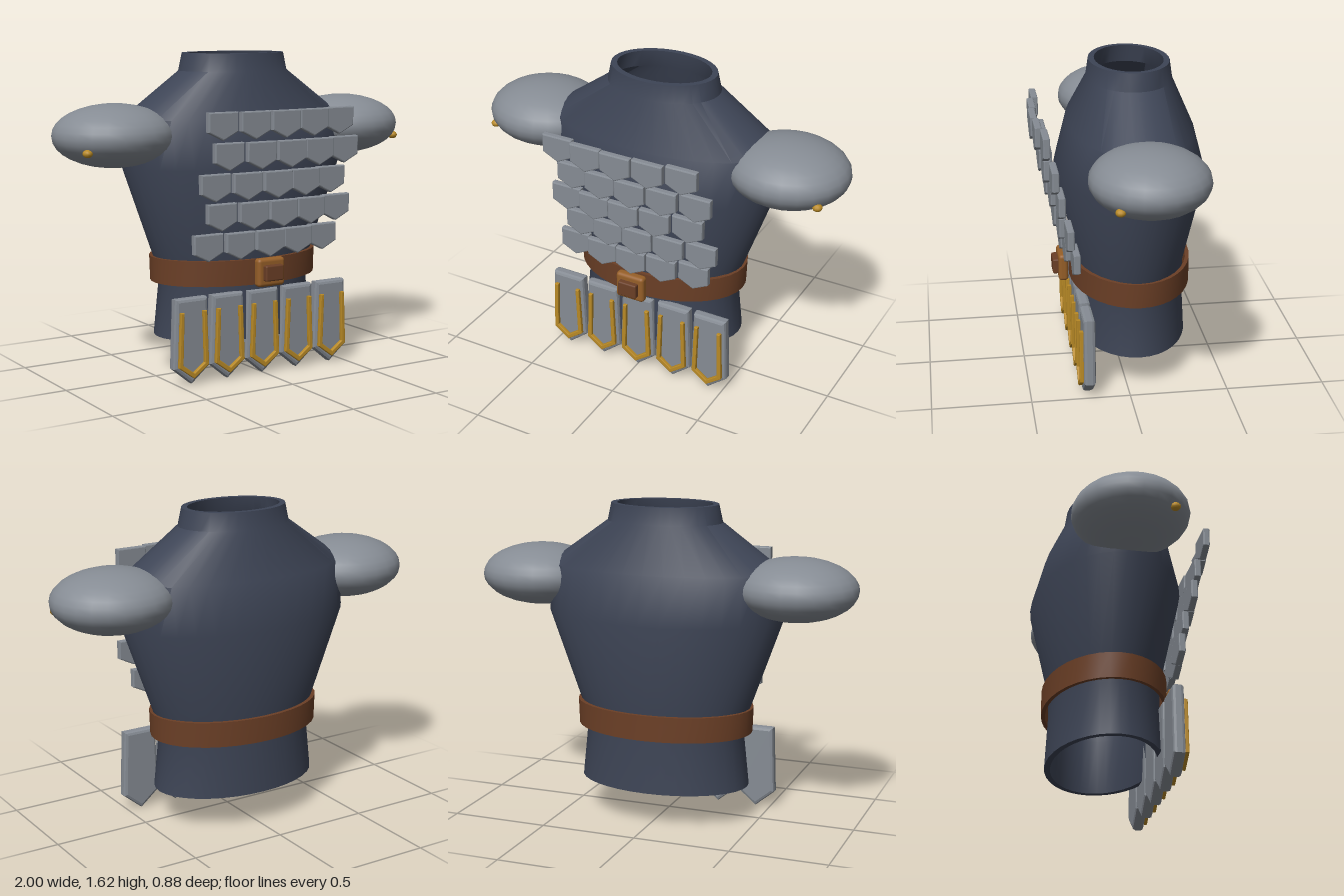
import * as THREE from 'three';
import { toCreasedNormals } from 'three/addons/utils/BufferGeometryUtils.js';
import { RoundedBoxGeometry } from 'three/addons/geometries/RoundedBoxGeometry.js';

const CENTER_Z = -0.06;

const material = (name, color) => {
  const m = new THREE.MeshStandardMaterial({ color });
  m.name = name;
  return m;
};

// Closed-wall elliptical shell from [y, rx, rz] rings, bottom to top
function shellGeometry(rings, wall, segments = 36) {
  const inner = rings.map(([y, rx, rz]) => [y, rx - wall, rz - wall]).reverse();
  const loop = [...rings, ...inner];
  const positions = [], index = [];
  for (const [y, rx, rz] of loop) {
    for (let j = 0; j < segments; j++) {
      const a = (j / segments) * Math.PI * 2;
      positions.push(rx * Math.sin(a), y, CENTER_Z + rz * Math.cos(a));
    }
  }
  for (let i = 0; i < loop.length; i++) {
    const low = i * segments, high = ((i + 1) % loop.length) * segments;
    for (let j = 0; j < segments; j++) {
      const k = (j + 1) % segments;
      index.push(low + j, low + k, high + k, low + j, high + k, high + j);
    }
  }
  const g = new THREE.BufferGeometry();
  g.setAttribute('position', new THREE.Float32BufferAttribute(positions, 3));
  g.setIndex(index);
  return toCreasedNormals(g, 0.6);
}

// Bevelled plate whose back lies on z = 0
function plateGeometry(points, thickness, bevel) {
  const shape = new THREE.Shape(points.map(([x, y]) => new THREE.Vector2(x, y)));
  const g = new THREE.ExtrudeGeometry(shape, {
    depth: thickness - 2 * bevel,
    bevelEnabled: bevel > 0,
    bevelThickness: bevel,
    bevelSize: bevel,
    bevelOffset: -bevel,
    bevelSegments: 2,
  });
  g.translate(0, 0, bevel);
  return g;
}

export function createModel() {
  const model = new THREE.Group();
  model.name = 'torsoArmor';
  const cloth = material('darkSlate', 0x3d4455);
  const steel = material('steelGrey', 0x868c94);
  const leather = material('brownLeather', 0x6b3f26);
  const bronze = material('bronze', 0x965f28);
  const gold = material('gold', 0xb98a26);

  const add = (name, geometry, mat, x = 0, y = 0, z = 0, parent = model) => {
    const mesh = new THREE.Mesh(geometry, mat);
    mesh.name = name;
    mesh.position.set(x, y, z);
    parent.add(mesh);
    return mesh;
  };
  const addGroup = (name) => {
    const group = new THREE.Group();
    group.name = name;
    model.add(group);
    return group;
  };

  // Hollow torso, open at the neck and hem
  add('torso', shellGeometry([
    [0.19, 0.45, 0.29],
    [0.47, 0.42, 0.275],
    [0.6, 0.455, 0.277],
    [1.07, 0.622, 0.38],
    [1.31, 0.625, 0.315],
    [1.54, 0.3, 0.215],
    [1.63, 0.28, 0.202],
  ], 0.03), cloth);

  // Belt and buckle
  add('belt', shellGeometry([[0.473, 0.465, 0.312], [0.603, 0.47, 0.312]], 0.02), leather);
  add('buckleFrame', new RoundedBoxGeometry(0.16, 0.145, 0.05, 3, 0.018), bronze, 0, 0.54, 0.288);
  add('bucklePlate', new RoundedBoxGeometry(0.105, 0.08, 0.06, 2, 0.008), leather, 0, 0.54, 0.311);

  // Shoulder domes with a gold rivet on each
  const dome = new THREE.SphereGeometry(1, 24, 16);
  const rivet = new THREE.SphereGeometry(0.025, 12, 8);
  for (const [side, s] of [['left', 1], ['right', -1]]) {
    add(side + 'Shoulder', dome, steel, s * 0.69, 1.235, CENTER_Z).scale.set(0.31, 0.158, 0.29);
    add(side + 'Rivet', rivet, gold, s * 0.915, 1.172, 0.11).scale.set(1, 0.8, 1);
  }

  // Five staggered rows of chest scales, bowed forward at the middle
  const scales = addGroup('chestScales');
  const scale = plateGeometry([
    [-0.083, 0], [-0.083, -0.095], [0, -0.136], [0.083, -0.095], [0.083, 0],
  ], 0.035, 0.006);
  for (let row = 0; row < 5; row++) {
    const shift = row % 2 ? 0.057 : 0;
    for (let i = -2; i <= 2; i++) {
      const z = 0.408 - row * 0.035 - 0.008 * i * i;
      add('scale', scale, steel, i * 0.171 + shift, 1.365 - row * 0.1525, z, scales);
    }
  }

  // Hanging skirt plates with gold trim
  const skirt = addGroup('skirtPlates');
  const plate = plateGeometry([
    [-0.09, 0.44], [-0.103, 0.09], [0, 0.005], [0.103, 0.09], [0.09, 0.44],
  ], 0.06, 0.016);
  const trim = plateGeometry([
    [-0.074, 0.375], [-0.085, 0.1], [0, 0.038], [0.085, 0.1], [0.074, 0.375],
    [0.054, 0.375], [0.062, 0.112], [0, 0.066], [-0.062, 0.112], [-0.054, 0.375],
  ], 0.022, 0.004);
  for (let i = -2; i <= 2; i++) {
    add('skirtPlate', plate, steel, i * 0.21, 0, 0.176, skirt);
    add('skirtTrim', trim, gold, i * 0.21, 0, 0.234, skirt);
  }
  return model;
}
